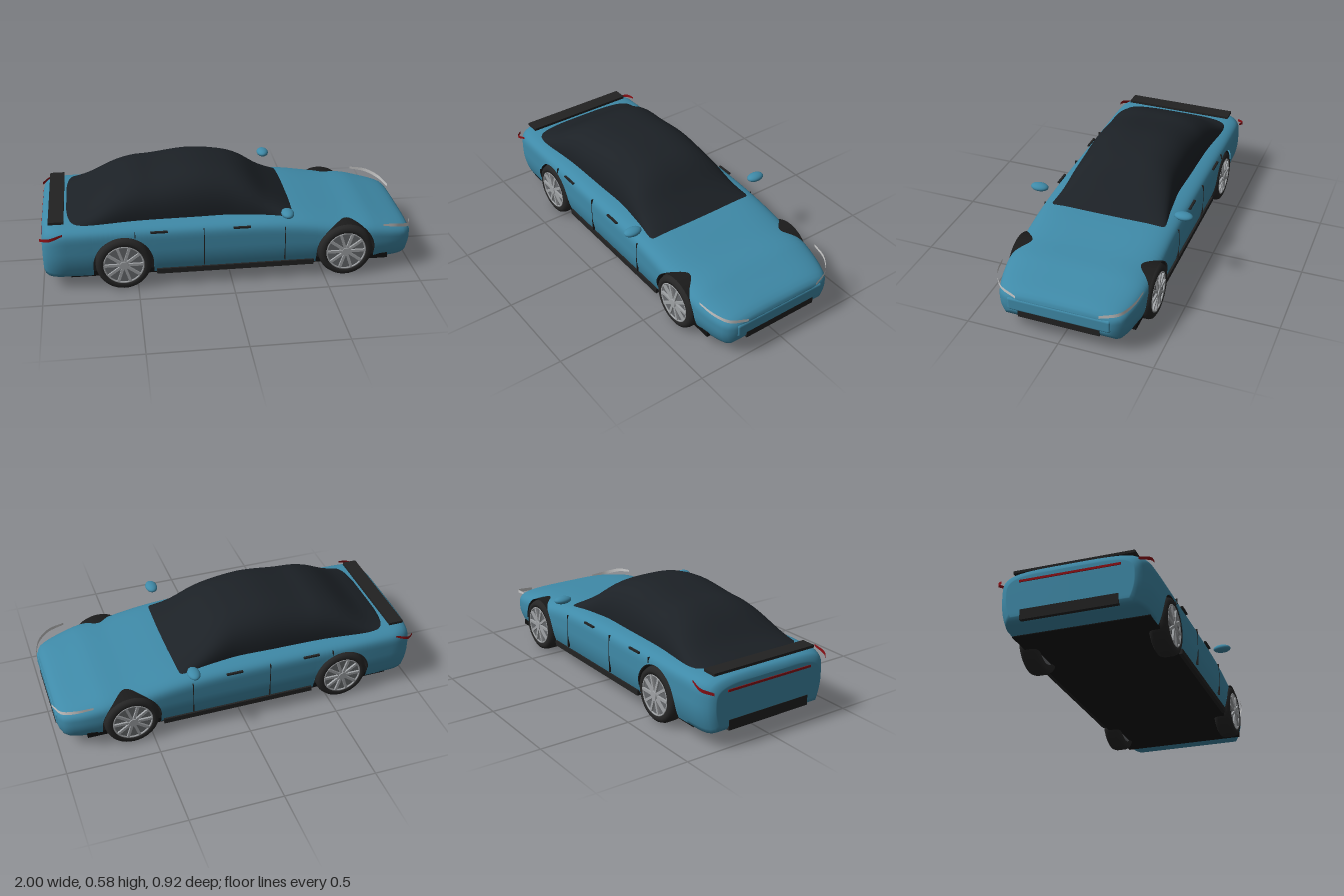
import * as THREE from 'three';
import { RoundedBoxGeometry } from 'three/addons/geometries/RoundedBoxGeometry.js';

const mat = (color, side = THREE.FrontSide) => new THREE.MeshStandardMaterial({ color, side });
const paint = mat(0x3f8aa8, THREE.DoubleSide), glass = mat(0x1c2126), trim = mat(0x222222);
const rubber = mat(0x262626), liner = mat(0x1b1b1b, THREE.DoubleSide), under = mat(0x101010);
const rimGrey = mat(0x66696c), spokeGrey = mat(0xa0a3a6);
const lampWhite = mat(0xcccccc, THREE.DoubleSide), lampRed = mat(0x8c1015, THREE.DoubleSide);

const WHEEL_X = [-0.573, 0.612], WHEEL_Y = 0.147, WHEEL_R = 0.147, ARCH_R = 0.158;

// Stations: x, top, bottom, half width, shoulder exponent
const BODY = [
  [-0.99, 0.325, 0.11, 0.325, 4], [-0.98, 0.35, 0.09, 0.345, 4.5], [-0.95, 0.362, 0.08, 0.368, 5],
  [-0.88, 0.364, 0.08, 0.384, 6], [-0.4, 0.364, 0.08, 0.386, 6], [0.1, 0.36, 0.08, 0.386, 6],
  [0.36, 0.35, 0.08, 0.386, 5], [0.6, 0.32, 0.08, 0.385, 4], [0.74, 0.306, 0.08, 0.382, 4],
  [0.85, 0.28, 0.08, 0.365, 4], [0.92, 0.262, 0.08, 0.345, 4], [0.96, 0.248, 0.088, 0.325, 4],
  [0.98, 0.232, 0.11, 0.295, 4], [0.988, 0.21, 0.13, 0.265, 4],
];
// Stations: x, top, half width
const CABIN = [
  [-0.86, 0.365, 0.335], [-0.75, 0.412, 0.328], [-0.6, 0.505, 0.312], [-0.5, 0.542, 0.303],
  [-0.4, 0.553, 0.299], [-0.18, 0.58, 0.295], [0, 0.56, 0.29], [0.1, 0.52, 0.298],
  [0.22, 0.43, 0.312], [0.35, 0.345, 0.337],
];

// Smooth interpolation of one column of a station table
function sample(table, x, col) {
  let i = 0;
  while (i < table.length - 2 && x > table[i + 1][0]) i++;
  const slope = (k) => {
    const a = table[Math.max(k - 1, 0)], b = table[Math.min(k + 1, table.length - 1)];
    return (b[col] - a[col]) / (b[0] - a[0]);
  };
  const p = table[i], q = table[i + 1], d = q[0] - p[0];
  const t = THREE.MathUtils.clamp((x - p[0]) / d, 0, 1), t2 = t * t, t3 = t2 * t;
  return (2 * t3 - 3 * t2 + 1) * p[col] + (t3 - 2 * t2 + t) * d * slope(i)
    + (3 * t2 - 2 * t3) * q[col] + (t3 - t2) * d * slope(i + 1);
}

// Mirrored skin through half sections [y, z] that run from the top centre downwards
function loft(xs, section) {
  const rings = xs.map((x) => section(x).map(([y, z]) => [x, y, z]));
  const flat = (ring) => ring.map(([x, y]) => [x, y, 0]);
  rings.unshift(flat(rings[0]));
  rings.push(flat(rings[rings.length - 1]));
  const m = rings[0].length - 1, n = 2 * m + 1, pos = [], index = [];
  rings.forEach((ring, i) => {
    for (let k = 0; k < n; k++) {
      const [x, y, z] = ring[Math.abs(k - m)];
      pos.push(x, y, k < m ? -z : z);
      if (i < rings.length - 1 && k < n - 1) {
        const a = i * n + k, b = a + n;
        index.push(a, a + 1, b, b, a + 1, b + 1);
      }
    }
  });
  const g = new THREE.BufferGeometry();
  g.setAttribute('position', new THREE.Float32BufferAttribute(pos, 3));
  g.setIndex(index);
  g.computeVertexNormals();
  return g;
}

const range = (a, b, n) => Array.from({ length: n + 1 }, (_, i) => a + (b - a) * i / n);

function bodySection(x) {
  const [top, bottom, w, n] = [1, 2, 3, 4].map((c) => sample(BODY, x, c));
  const mid = (top + bottom) / 2, pts = [];
  // The lower edge rises over each wheel
  let low = bottom;
  for (const c of WHEEL_X) {
    const d = Math.abs(x - c);
    if (d <= ARCH_R) low = Math.min(WHEEL_Y + Math.sqrt(ARCH_R ** 2 - d * d), top - 0.004);
  }
  const start = low > mid ? Math.asin(((low - mid) / (top - mid)) ** (n / 2)) : 0;
  for (const t of range(Math.PI / 2, start, 24)) {
    pts.push([mid + (top - mid) * Math.sin(t) ** (2 / n), w * Math.max(Math.cos(t), 0) ** (2 / n)]);
  }
  const [y0, z0] = pts[24];
  for (const t of range(0, 1, 6).slice(1)) {
    const y = low > mid ? y0 : mid + (low - mid) * t;
    pts.push([y, low > mid ? z0 : w * (1 - 0.08 * ((mid - y) / (mid - bottom)) ** 2)]);
  }
  // Closed underneath at nose and tail only
  const last = pts[30];
  pts.push([last[0], Math.abs(x) > 0.8 ? 0 : last[1]]);
  return pts;
}

function cabinSection(x) {
  const top = sample(CABIN, x, 1), w = sample(CABIN, x, 2), base = Math.min(0.32, top - 0.02);
  return range(Math.PI / 2, 0, 24).map((t) => [
    base + (top - base) * Math.sin(t) ** (2 / 3), w * Math.max(Math.cos(t), 0) ** (2 / 3)]);
}

// Thin tapered strip along a path, standing upright
function ribbon(points, height) {
  const curve = new THREE.CatmullRomCurve3(points.map((p) => new THREE.Vector3(...p)));
  const pos = [], index = [], N = 20;
  for (let i = 0; i <= N; i++) {
    const p = curve.getPoint(i / N), h = height * (0.3 + 0.7 * Math.sin(Math.PI * (0.15 + 0.6 * i / N))) / 2;
    pos.push(p.x, p.y + h, p.z, p.x, p.y - h, p.z);
    if (i < N) index.push(2 * i, 2 * i + 1, 2 * i + 2, 2 * i + 2, 2 * i + 1, 2 * i + 3);
  }
  const g = new THREE.BufferGeometry();
  g.setAttribute('position', new THREE.Float32BufferAttribute(pos, 3));
  g.setIndex(index);
  g.computeVertexNormals();
  return g;
}

function add(parent, name, geometry, material, x = 0, y = 0, z = 0) {
  const mesh = new THREE.Mesh(geometry, material);
  mesh.name = name;
  mesh.position.set(x, y, z);
  parent.add(mesh);
  return mesh;
}
const box = (w, h, d) => new THREE.BoxGeometry(w, h, d);

// Wheel around the z axis, outer face towards +z
function makeWheel() {
  const wheel = new THREE.Group();
  const profile = [[0.1, -0.047], [0.125, -0.05], [0.14, -0.042], [WHEEL_R, -0.024], [WHEEL_R, 0.024],
    [0.14, 0.042], [0.125, 0.05], [0.108, 0.048], [0.1, 0.03]].map((p) => new THREE.Vector2(...p));
  add(wheel, 'tyre', new THREE.LatheGeometry(profile, 40), rubber).rotation.x = Math.PI / 2;
  add(wheel, 'rimDisc', new THREE.CylinderGeometry(0.107, 0.107, 0.08, 40), rimGrey).rotation.x = Math.PI / 2;
  add(wheel, 'rimLip', new THREE.TorusGeometry(0.104, 0.005, 8, 40), spokeGrey, 0, 0, 0.045);
  add(wheel, 'hub', new THREE.CylinderGeometry(0.022, 0.024, 0.02, 24), spokeGrey, 0, 0, 0.046).rotation.x = Math.PI / 2;
  for (let i = 0; i < 10; i++) {
    const a = i * Math.PI / 5;
    add(wheel, 'spoke', box(0.088, 0.014, 0.014), spokeGrey, 0.06 * Math.cos(a), 0.06 * Math.sin(a), 0.044).rotation.z = a;
  }
  return wheel;
}

export function createModel() {
  const car = new THREE.Group();
  car.name = 'car';

  // Body skin, with extra stations around the arches
  const xs = [...range(-0.988, 0.988, 80), -0.99, -0.98, 0.98, 0.985];
  for (const c of WHEEL_X) {
    for (const a of range(0, Math.PI, 36)) xs.push(c + ARCH_R * 0.9999 * Math.cos(a));
    xs.push(c - ARCH_R - 0.0005, c + ARCH_R + 0.0005);
  }
  add(car, 'body', loft(xs.sort((a, b) => a - b), bodySection), paint);
  add(car, 'cabin', loft(range(-0.86, 0.35, 60), cabinSection), glass);

  // Floor, bumpers and rear wing
  add(car, 'undertray', box(1.7, 0.028, 0.71), under, 0, 0.089, 0);
  add(car, 'noseLip', new RoundedBoxGeometry(0.03, 0.075, 0.55, 4, 0.014), paint, 0.977, 0.172, 0);
  add(car, 'frontIntake', box(0.03, 0.045, 0.435), trim, 0.975, 0.127, 0);
  add(car, 'rearDiffuser', box(0.04, 0.055, 0.5), trim, -0.972, 0.113, 0);
  add(car, 'rearWing', box(0.08, 0.014, 0.63), trim, -0.912, 0.374, 0);
  add(car, 'rearLightBar', box(0.012, 0.012, 0.52), lampRed, -0.988, 0.295, 0);

  for (const s of [1, -1]) {
    // Wheels and arch liners
    for (const x of WHEEL_X) {
      const wheel = makeWheel();
      wheel.name = 'wheel';
      wheel.position.set(x, WHEEL_Y, s * 0.341);
      if (s < 0) wheel.rotation.y = Math.PI;
      car.add(wheel);
      const arch = new THREE.CylinderGeometry(ARCH_R - 0.003, ARCH_R - 0.003, 0.09, 32, 1, true, Math.PI / 2, Math.PI);
      add(car, 'archLiner', arch, liner, x, WHEEL_Y, s * 0.335).rotation.x = Math.PI / 2;
    }
    // Mirrors, handles, sills and door seams
    add(car, 'mirror', new THREE.SphereGeometry(1, 24, 16), paint, 0.283, 0.404, s * 0.408).scale.set(0.033, 0.021, 0.05);
    for (const x of [-0.385, 0.05]) add(car, 'doorHandle', box(0.09, 0.009, 0.012), trim, x, 0.325, s * 0.383);
    add(car, 'sill', box(0.84, 0.028, 0.035), trim, 0.02, 0.089, s * 0.358);
    for (const [x, y0, y1] of [[-0.51, 0.3, 0.33], [-0.15, 0.12, 0.33], [0.28, 0.12, 0.31]]) {
      add(car, 'doorSeam', box(0.004, y1 - y0, 0.012), trim, x, (y0 + y1) / 2, s * 0.381);
    }
    // Lamps wrapping round the corners
    add(car, 'headlight', ribbon([[0.81, 0.286, s * 0.378], [0.9, 0.272, s * 0.362],
      [0.965, 0.248, s * 0.315], [1, 0.231, s * 0.22]], 0.02), lampWhite);
    add(car, 'tailLight', ribbon([[-0.88, 0.34, s * 0.388], [-0.95, 0.318, s * 0.392],
      [-1, 0.302, s * 0.35]], 0.018), lampRed);
  }
  return car;
}
